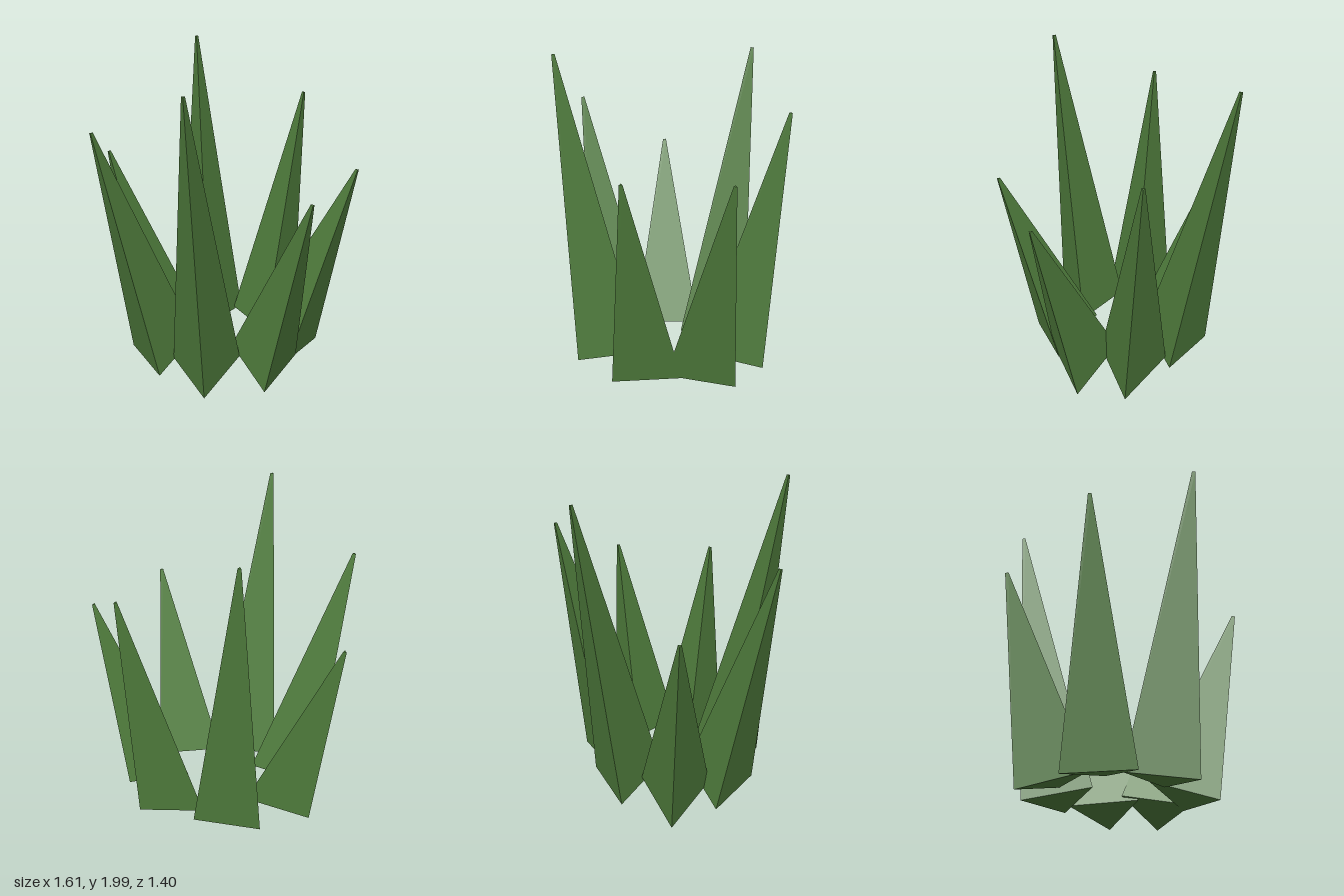
import * as THREE from 'three';

// Each blade: base centre x, z, then tip centre x, y, z
const BLADES = [
  [0.39, -0.015, 0.795, 1.325, -0.005],
  [0.23, 0.28, 0.482, 1.325, 0.55],
  [-0.145, 0.365, -0.23, 1.998, 0.688],
  [-0.44, 0.15, -0.795, 1.66, 0.303],
  [-0.445, -0.17, -0.795, 1.325, -0.31],
  [-0.14, -0.372, -0.23, 1.998, -0.692],
  [0.24, -0.3, 0.482, 1.66, -0.553],
];
const BASE_Y = 0.08;

export function createModel() {
  const group = new THREE.Group();
  group.name = 'grassTuft';
  const bladeGreen = new THREE.MeshStandardMaterial({ color: 0x4f7c3c, flatShading: true });
  bladeGreen.name = 'bladeGreen';

  // Three-sided tapered spikes in a ring, each leaning outward
  BLADES.forEach(([bx, bz, tx, ty, tz], i) => {
    const base = new THREE.Vector3(bx, BASE_Y, bz);
    const tip = new THREE.Vector3(tx, ty, tz);
    const axis = tip.clone().sub(base);
    const length = axis.length();
    axis.normalize();

    const blade = new THREE.Mesh(new THREE.CylinderGeometry(0.012, 0.25, length, 3), bladeGreen);
    blade.name = `blade${i + 1}`;
    blade.position.copy(base).add(tip).multiplyScalar(0.5);
    // Lean without twisting, so every blade keeps a corner toward the front
    blade.rotation.set(Math.atan2(axis.z, axis.y), 0, -Math.asin(axis.x));
    group.add(blade);
  });
  return group;
}
